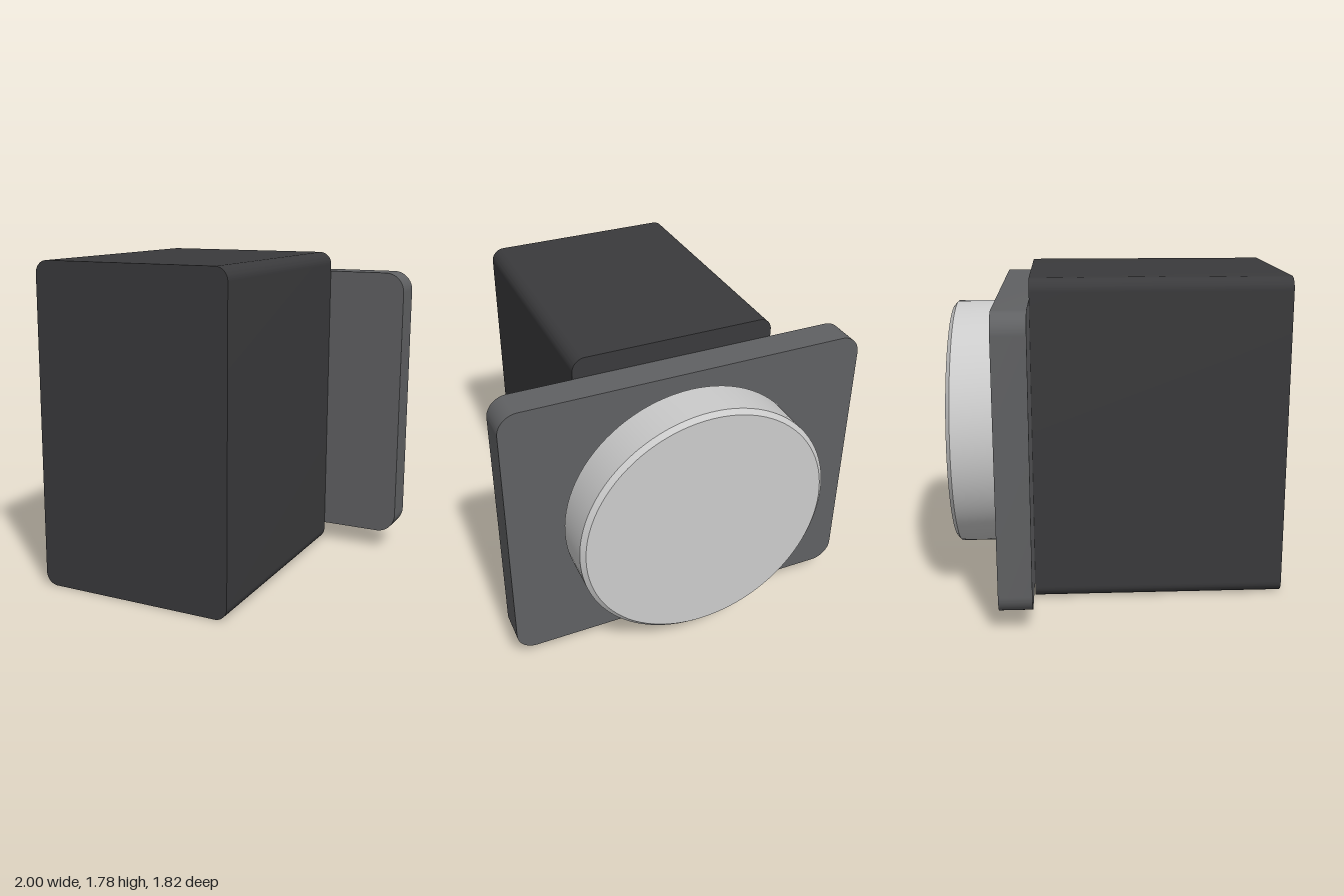
import * as THREE from 'three';
import { toCreasedNormals } from 'three/addons/utils/BufferGeometryUtils.js';

const MID_Y = 0.89;

function paint(color) {
  return new THREE.MeshStandardMaterial({ color });
}

// Rounded rectangle in XY, centred on the origin
function roundedRect(w, h, r) {
  const x = w / 2, y = h / 2;
  const s = new THREE.Shape();
  s.absarc(x - r, y - r, r, 0, Math.PI / 2);
  s.absarc(-x + r, y - r, r, Math.PI / 2, Math.PI);
  s.absarc(-x + r, -y + r, r, Math.PI, Math.PI * 1.5);
  s.absarc(x - r, -y + r, r, Math.PI * 1.5, Math.PI * 2);
  s.closePath();
  return s;
}

// Slab with rounded upright-profile corners and sharp front and back rims
function slab(name, w, h, r, zBack, zFront, color) {
  const geo = new THREE.ExtrudeGeometry(roundedRect(w, h, r), {
    depth: zFront - zBack, bevelEnabled: false, curveSegments: 12,
  });
  const mesh = new THREE.Mesh(toCreasedNormals(geo, 0.6), paint(color));
  mesh.position.set(0, MID_Y, zBack);
  mesh.name = name;
  return mesh;
}

export function createModel() {
  const model = new THREE.Group();
  model.name = 'model';

  // Main block and the wider plate behind it
  model.add(slab('body', 1.11, 1.78, 0.07, -0.47, 0.91, 0x3a3a3c));
  model.add(slab('backPlate', 2, 1.56, 0.11, -0.645, -0.47, 0x606163));

  // Round disc on the back, chamfered at both rims
  const profile = [[0, 0], [0.675, 0], [0.7, 0.022], [0.7, 0.245], [0.675, 0.267], [0, 0.267]]
    .map(([r, y]) => new THREE.Vector2(r, y));
  const disc = new THREE.Mesh(
    toCreasedNormals(new THREE.LatheGeometry(profile, 96), 0.5), paint(0xcccccc));
  disc.rotation.x = -Math.PI / 2;
  disc.position.set(0, MID_Y, -0.645);
  disc.name = 'disc';
  model.add(disc);

  // Thin contact strip under the plate
  const strip = new THREE.Mesh(new THREE.BoxGeometry(0.66, 0.02, 0.12), paint(0xd4b62c));
  strip.position.set(0, 0.114, -0.555);
  strip.name = 'contactStrip';
  model.add(strip);

  return model;
}
